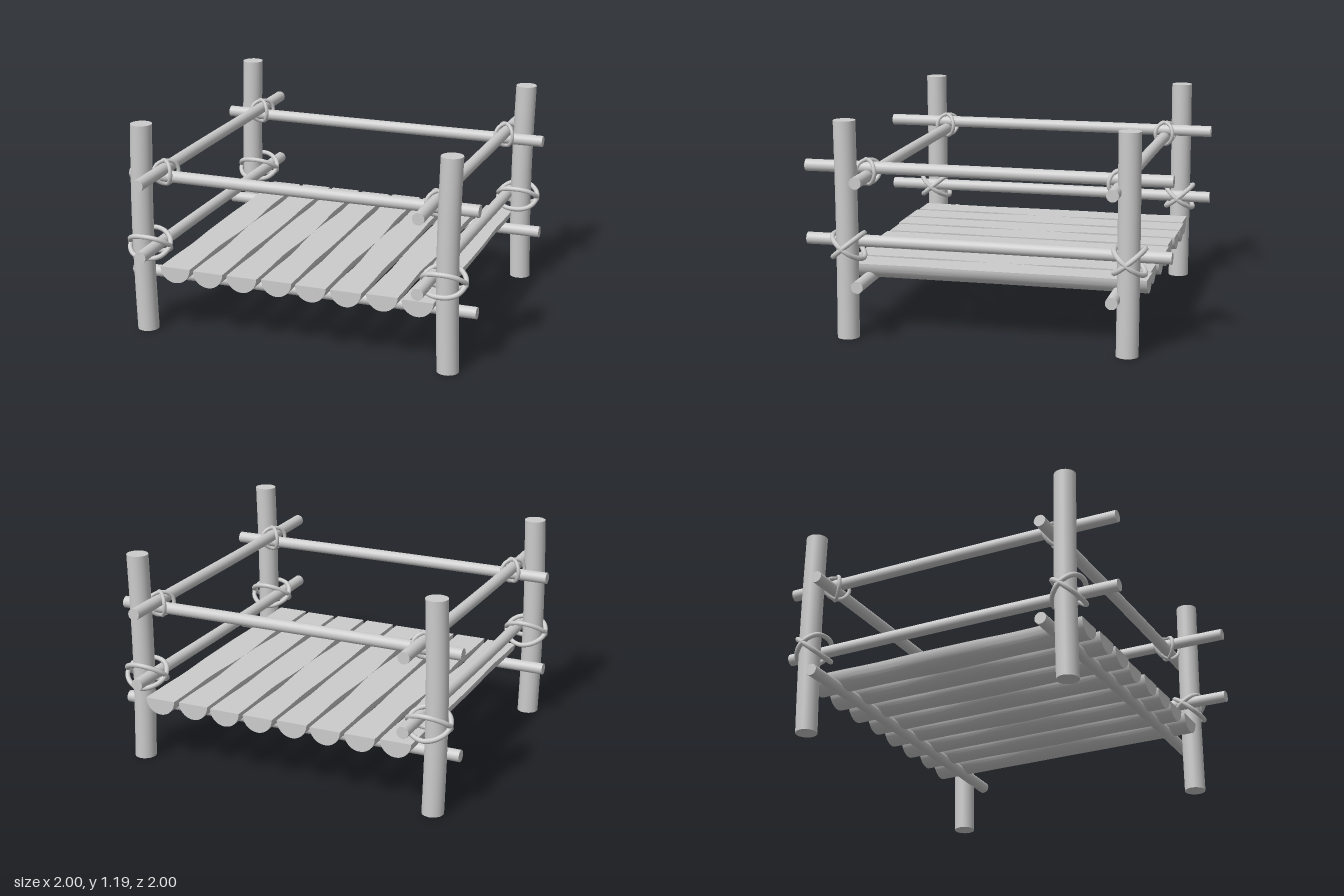
import * as THREE from 'three';
import { toCreasedNormals } from 'three/addons/utils/BufferGeometryUtils.js';

const grey = new THREE.MeshStandardMaterial({ color: 0xcccccc });

function add(group, name, geometry) {
  const mesh = new THREE.Mesh(geometry, grey);
  mesh.name = name;
  group.add(mesh);
  return mesh;
}

// Slightly crooked pole standing along y, centred on the origin;
// bend(t) gives the sideways shift, t running from 0 to 1
function pole(radius, length, bend) {
  const geo = new THREE.CylinderGeometry(radius, radius, length, 24, 16);
  const p = geo.attributes.position;
  for (let i = 0; i < p.count; i++) {
    p.setX(i, p.getX(i) + bend(p.getY(i) / length + 0.5));
  }
  return geo;
}

// Closed rope loop spanned by two half-axes around a centre
function ropeLoop(center, a, b, radius) {
  const points = [];
  for (let i = 0; i < 16; i++) {
    const t = (i / 16) * Math.PI * 2;
    const wobble = 1 + 0.04 * Math.sin(3 * t);
    points.push(center.clone()
      .addScaledVector(a, Math.cos(t))
      .addScaledVector(b, Math.sin(t) * wobble));
  }
  const curve = new THREE.CatmullRomCurve3(points, true);
  return new THREE.TubeGeometry(curve, 48, radius, 8, true);
}

// Half-round log, flat side up, swelling and swaying along its length
function halfLog(length, sway) {
  const shape = new THREE.Shape();
  shape.absarc(0, 0, 0.088, Math.PI, Math.PI * 2, false);
  shape.closePath();
  const geo = new THREE.ExtrudeGeometry(shape, {
    depth: length, steps: 24, bevelEnabled: false, curveSegments: 18,
  });
  geo.translate(0, 0, -length / 2);
  const p = geo.attributes.position;
  for (let i = 0; i < p.count; i++) {
    const z = p.getZ(i);
    const middle = Math.exp(-((z / 0.22) ** 2));
    const waist = Math.exp(-(((Math.abs(z) - 0.42) / 0.16) ** 2));
    const width = 1 + 0.07 * middle - 0.08 * waist;
    p.setX(i, p.getX(i) * width + sway * middle);
  }
  return toCreasedNormals(geo, 0.6);
}

export function createModel() {
  const model = new THREE.Group();
  model.name = 'woodenPlatform';
  const frontZ = 0.65, backZ = -0.72;
  const leftX = 0.775, rightX = -0.79;
  const V = (x, y, z) => new THREE.Vector3(x, y, z);

  // Corner posts
  const posts = [[-0.883, 0.745], [0.873, 0.745], [-0.883, -0.805], [0.873, -0.785]];
  for (const [x, z] of posts) {
    const bend = (t) => -0.012 * Math.sin(Math.PI * t);
    add(model, 'post', pole(0.06, 1.19, bend)).position.set(x, 0.595, z);
  }

  // Cross rails: floor bearers below, handrails above
  for (const z of [frontZ, backZ]) {
    for (const [name, y] of [['floorBearer', 0.312], ['crossHandrail', 0.876]]) {
      const geo = pole(0.033, 2, (t) => 0.007 * Math.sin(Math.PI * t));
      geo.rotateZ(-Math.PI / 2);
      geo.rotateX(-Math.PI / 2);
      add(model, name, geo).position.set(0, y, z);
    }
  }

  // Side rails at two heights
  for (const x of [rightX, leftX]) {
    for (const [name, y] of [['lowerSideRail', 0.515], ['upperSideRail', 0.92]]) {
      const geo = pole(0.033, 2, (t) => 0.005 * Math.cos(Math.PI * 1.5 * t));
      geo.rotateX(Math.PI / 2);
      add(model, name, geo).position.set(x, y, 0);
    }
  }

  // Floor of eight half logs
  for (let i = 0; i < 8; i++) {
    const length = 1.655 + 0.01 * (i % 3 === 0 ? -1 : 1);
    const log = add(model, 'floorLog', halfLog(length, i % 2 ? -0.006 : 0.006));
    log.position.set(-0.69 + i * 0.2005, 0.392, -0.04);
  }

  // Lashings where the upper rails cross
  for (const x of [rightX, leftX]) {
    for (const z of [frontZ, backZ]) {
      for (const s of [-1, 1]) {
        const center = V(x, 0.9, z);
        add(model, 'railLashing',
          ropeLoop(center, V(0.052, 0, 0.052 * s), V(0, 0.066, 0), 0.011));
      }
    }
  }

  // Lashings holding the lower side rails to the posts
  for (const [x, z] of posts) {
    const inward = -Math.sign(x);
    for (const s of [-1, 1]) {
      const center = V(x + inward * 0.03, 0.505, z);
      add(model, 'postLashing',
        ropeLoop(center, V(0.118, 0, 0), V(0, 0.065 * s, 0.08), 0.014));
    }
  }

  return model;
}
